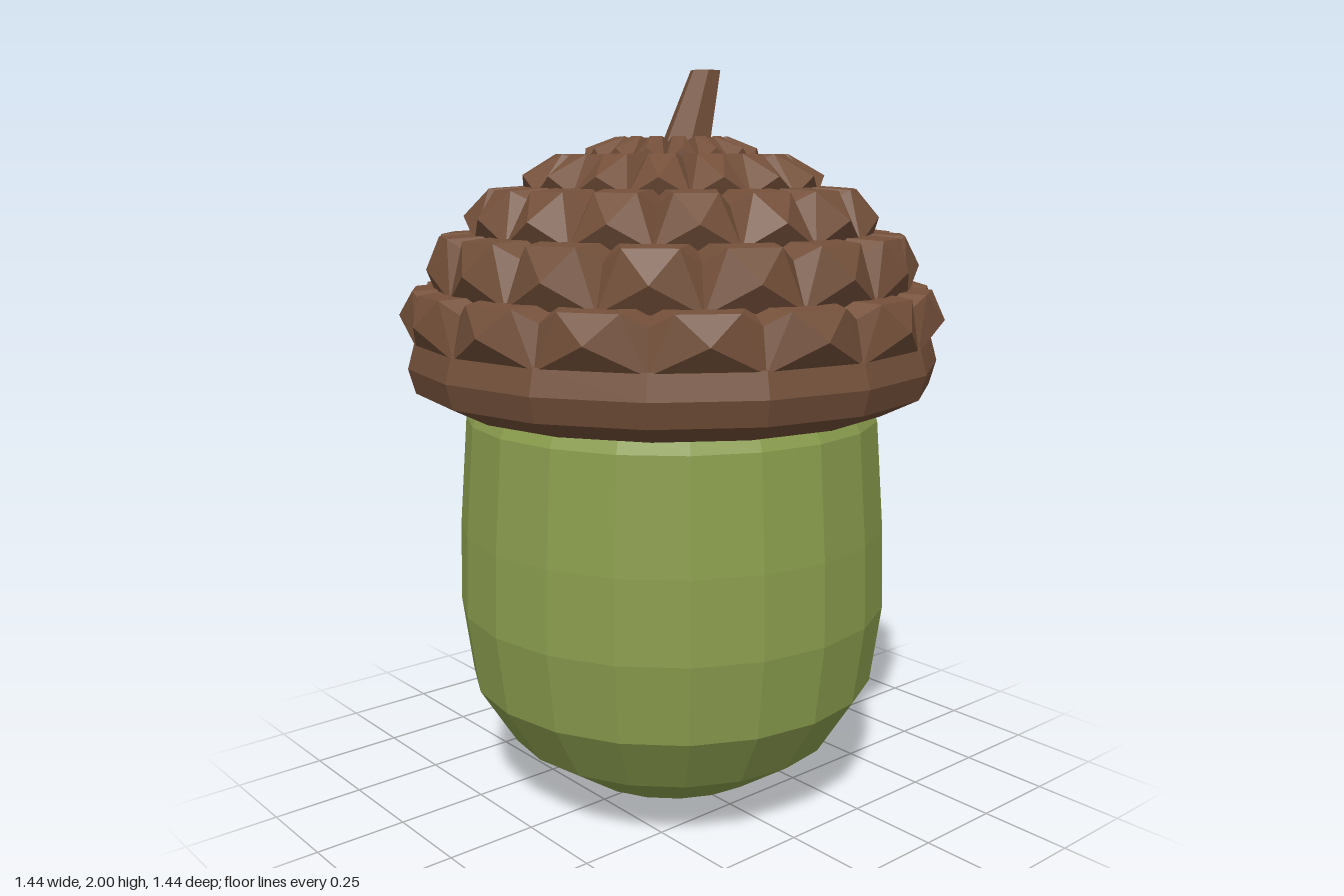
import * as THREE from 'three';

const SCALES = 16;

// Point on a circle of radius r at height y; angle 0 faces +z
const polar = (r, a, y) => [r * Math.sin(a), y, r * Math.cos(a)];

function lathe(points, sides, material, name) {
  const geometry = new THREE.LatheGeometry(points.map(([r, y]) => new THREE.Vector2(r, y)), sides);
  const mesh = new THREE.Mesh(geometry, material);
  mesh.name = name;
  return mesh;
}

// One ring of pointed scales, each a faceted pyramid with a ledge behind its top edge
function scaleRing({ y0, y1, base, peak, top, inner, innerY, peakY }, offset) {
  const pos = [];
  const tri = (...pts) => pts.forEach((p) => pos.push(...p));
  const h = Math.PI / SCALES;
  for (let i = 0; i < SCALES; i++) {
    const a = (i * 2 + offset) * h;
    const drop = (y1 - y0) * 0.25;
    const notch = top * 0.6 + Math.min(inner / 0.9, top) * 0.4;
    const P = polar(peak, a, peakY);
    const [BL, BR] = [-1, 1].map((s) => polar(base, a + s * h, y0 - 0.01));
    const [TL, TR] = [-1, 1].map((s) => polar(top, a + s * h * 0.55, y1));
    const [VL, VR] = [-1, 1].map((s) => polar(notch, a + s * h, y1 - drop));
    const [IL, IR] = [-1, 1].map((s) => polar(inner, a + s * h, innerY));
    // outer facets
    tri(BL, BR, P);
    tri(BR, TR, P);
    tri(TR, TL, P);
    tri(TL, BL, P);
    tri(BR, VR, TR);
    tri(BL, TL, VL);
    // ledge
    tri(TL, TR, IR);
    tri(TL, IR, IL);
    tri(TR, VR, IR);
    tri(TL, IL, VL);
  }
  const geometry = new THREE.BufferGeometry();
  geometry.setAttribute('position', new THREE.Float32BufferAttribute(pos, 3));
  geometry.computeVertexNormals();
  return geometry;
}

export function createModel() {
  const model = new THREE.Group();
  model.name = 'acorn';
  const green = new THREE.MeshStandardMaterial({ color: 0x8b9e4e, flatShading: true });
  green.name = 'nut green';
  const brown = new THREE.MeshStandardMaterial({ color: 0x74503a, flatShading: true });
  brown.name = 'cap brown';

  // Nut
  model.add(lathe([
    [0, 0], [0.085, 0.005], [0.288, 0.065], [0.465, 0.185], [0.565, 0.345],
    [0.594, 0.56], [0.588, 0.78], [0.565, 1.08], [0.53, 1.16],
  ], 20, green, 'nut'));

  // Cap
  const cap = new THREE.Group();
  cap.name = 'cap';
  model.add(cap);
  cap.add(lathe([
    [0.5, 1.135], [0.6, 1.12], [0.7, 1.17], [0.718, 1.235], [0.7, 1.3], [0.6, 1.32],
  ], SCALES, brown, 'capRim'));

  const rows = [
    { y0: 1.30, y1: 1.43, base: 0.695, peak: 0.733, peakY: 1.36, top: 0.695, inner: 0.57, innerY: 1.44 },
    { y0: 1.43, y1: 1.57, base: 0.635, peak: 0.662, peakY: 1.49, top: 0.62, inner: 0.47, innerY: 1.58 },
    { y0: 1.57, y1: 1.69, base: 0.535, peak: 0.555, peakY: 1.62, top: 0.49, inner: 0.34, innerY: 1.70 },
    { y0: 1.69, y1: 1.78, base: 0.395, peak: 0.405, peakY: 1.725, top: 0.31, inner: 0.19, innerY: 1.78 },
    { y0: 1.77, y1: 1.825, base: 0.235, peak: 0.23, peakY: 1.795, top: 0.15, inner: 0.05, innerY: 1.75 },
  ];
  rows.forEach((row, i) => {
    const ring = new THREE.Mesh(scaleRing(row, (i + 1) % 2), brown);
    ring.name = `scaleRow${i + 1}`;
    cap.add(ring);
  });

  // Stem, leaning to +x
  const stemGeometry = new THREE.CylinderGeometry(0.042, 0.08, 0.28, 6, 1, false, Math.PI / 2);
  stemGeometry.translate(0, 1.86, 0);
  const p = stemGeometry.attributes.position;
  for (let i = 0; i < p.count; i++) p.setX(i, p.getX(i) + 0.118 - (2 - p.getY(i)) * 0.36);
  stemGeometry.computeVertexNormals();
  const stem = new THREE.Mesh(stemGeometry, brown);
  stem.name = 'stem';
  cap.add(stem);

  return model;
}
